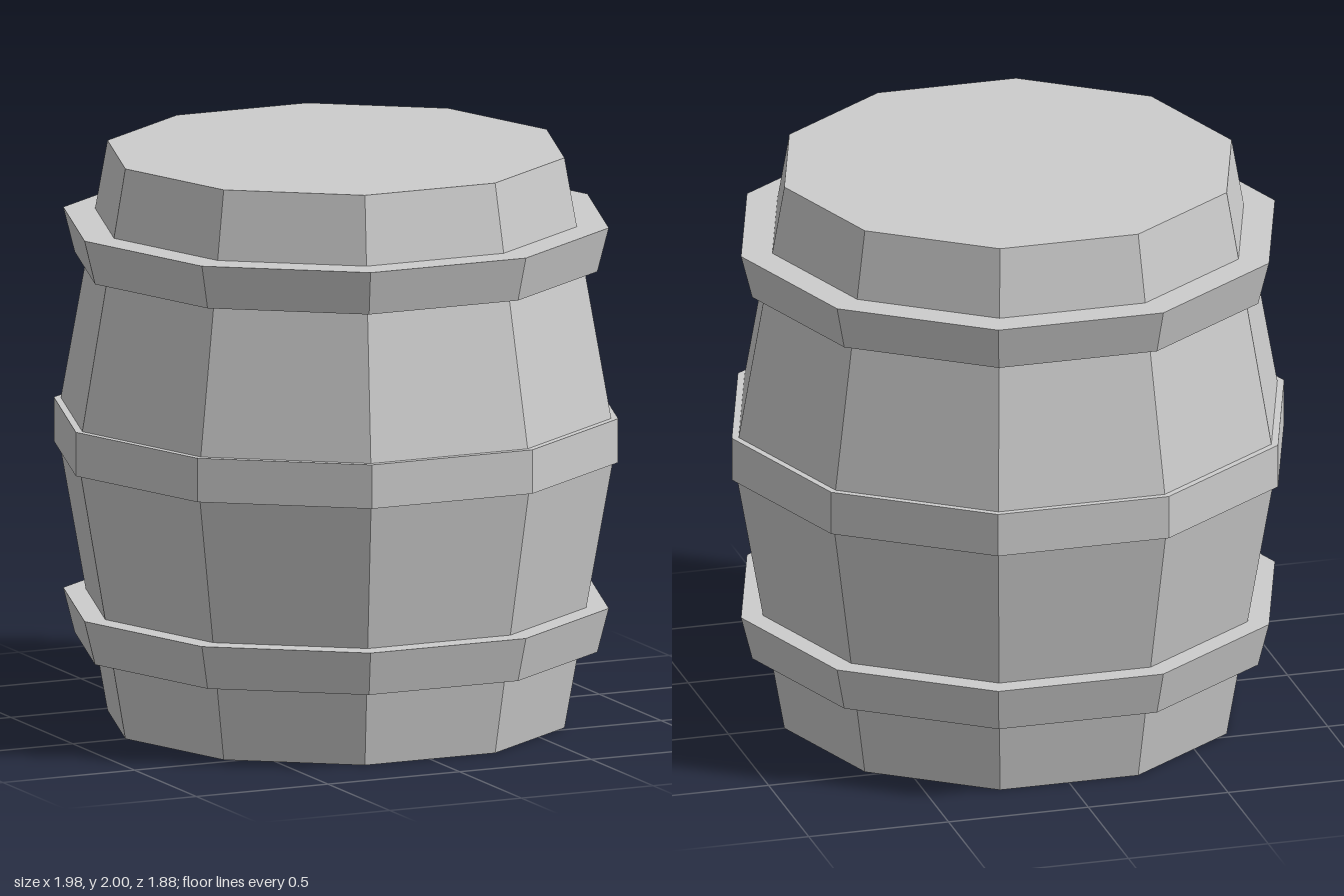
import * as THREE from 'three';

const SIDES = 10;

// Ten-sided solid turned from [radius, y] points, listed from bottom to top, with a corner on +x
function turned(name, points, material) {
  const profile = points.map(([r, y]) => new THREE.Vector2(r, y));
  const lathe = new THREE.LatheGeometry(profile, SIDES, Math.PI / 2);
  const geometry = lathe.toNonIndexed();
  geometry.computeVertexNormals(); // one normal per facet
  const mesh = new THREE.Mesh(geometry, material);
  mesh.name = name;
  return mesh;
}

export function createModel() {
  const barrel = new THREE.Group();
  barrel.name = 'barrel';

  const grey = new THREE.MeshStandardMaterial({ color: 0xcccccc, flatShading: true });
  grey.name = 'plain grey';

  // Body: closed, widest at mid-height
  barrel.add(turned('body', [[0, 0], [0.8, 0], [0.98, 1], [0.8, 2], [0, 2]], grey));

  // Hoops: the outer two flare upward, the middle one is straight
  const hoops = [
    ['lowerHoop', 0.27, 0.425, 0.915, 0.955],
    ['middleHoop', 0.938, 1.092, 0.988, 0.988],
    ['upperHoop', 1.605, 1.76, 0.915, 0.955],
  ];
  for (const [name, y0, y1, r0, r1] of hoops) {
    const inner = 0.8; // hidden inside the body
    barrel.add(turned(name, [[inner, y0], [r0, y0], [r1, y1], [inner, y1]], grey));
  }

  return barrel;
}
